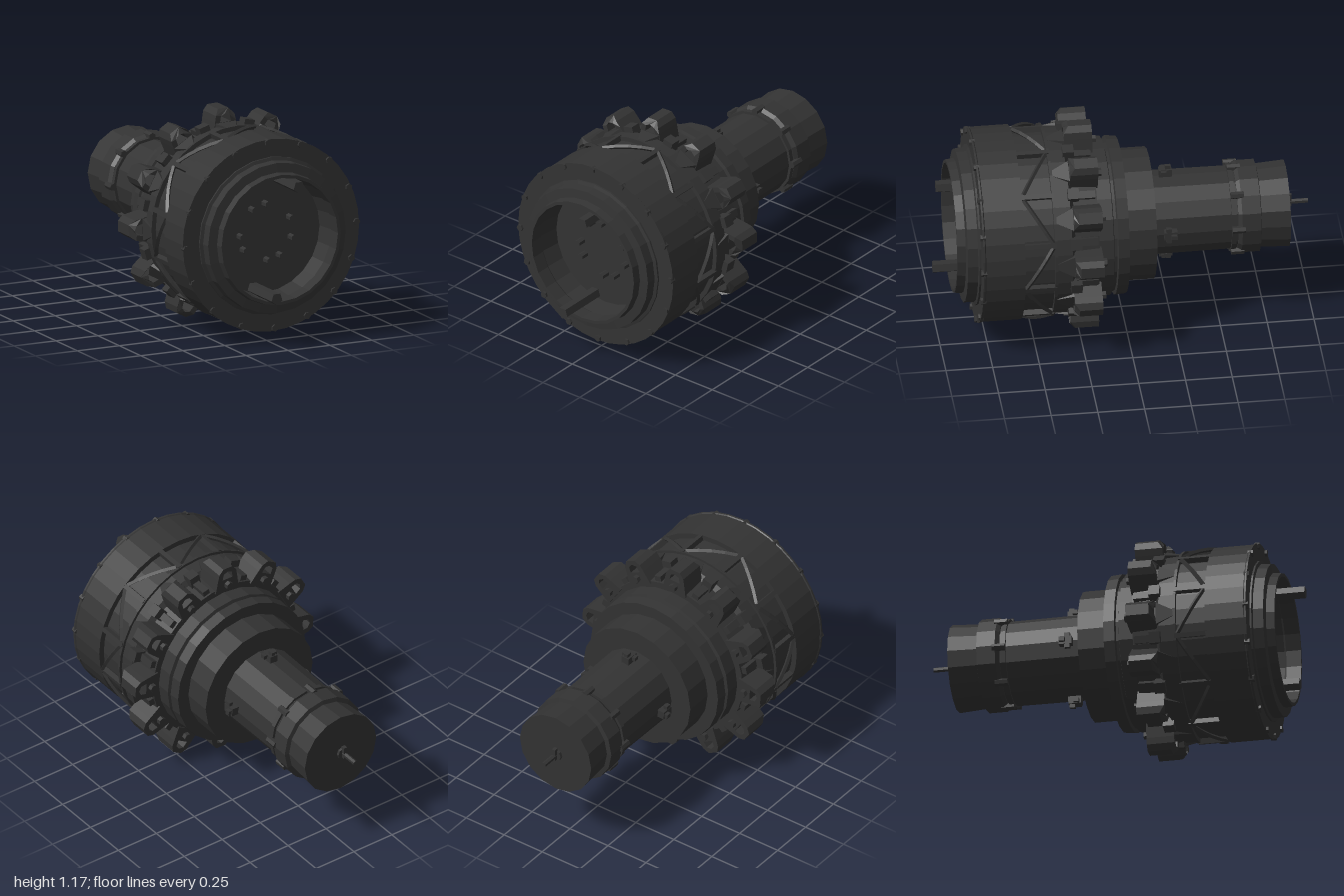
import * as THREE from 'three';

export function createModel() {
  const model = new THREE.Group();
  const body = new THREE.Group(); // everything is built around the z axis
  body.name = 'portBody';
  body.position.y = 0.585;
  model.add(body);
  const metal = new THREE.MeshStandardMaterial({ color: 0x333333, flatShading: true });
  metal.name = 'darkMetal';

  const add = (name, geo, parent = body) => {
    const m = new THREE.Mesh(geo, metal);
    m.name = name;
    parent.add(m);
    return m;
  };
  // Turned part: [radius, z] points, running from back to front
  const turned = (name, pts, sides) => {
    const g = new THREE.LatheGeometry(pts.map(p => new THREE.Vector2(p[0], p[1])), sides);
    return add(name, g.rotateX(Math.PI / 2));
  };
  const rod = (r, len, sides = 6) => new THREE.CylinderGeometry(r, r, len, sides).rotateX(Math.PI / 2);
  // Repeat a builder around the axis; local +y points outwards
  const ring = (name, count, offset, build) => {
    for (let i = 0; i < count; i++) {
      const g = new THREE.Group();
      g.name = name;
      g.rotation.z = offset + i * Math.PI * 2 / count;
      build(g, i);
      body.add(g);
    }
  };
  const tilt = 0.04;

  // Rear cap, narrow tube and stepped collars
  turned('rearCap', [[0, -0.88], [0.235, -0.88], [0.225, -0.725], [0.25, -0.72], [0.25, -0.62], [0.235, -0.6], [0.22, -0.6]], 16);
  turned('clampBand', [[0.22, -0.59], [0.24, -0.59], [0.24, -0.565], [0.22, -0.565]], 16);
  turned('rearTube', [[0.225, -0.62], [0.228, -0.14]], 16);
  turned('smallCollar', [[0.2, -0.15], [0.352, -0.15], [0.352, 0.01]], 20);
  turned('largeCollar', [[0.33, 0.005], [0.42, 0.005], [0.425, 0.065], [0.405, 0.07], [0.405, 0.085], [0.425, 0.09], [0.425, 0.18]], 24);

  // Main drum, from the lug seat to the front flange
  turned('lugSeat', [[0.4, 0.17], [0.46, 0.17], [0.47, 0.3], [0.5, 0.32], [0.5, 0.4], [0.515, 0.4], [0.515, 0.415], [0.49, 0.415]], 36);
  turned('trussCore', [[0.49, 0.4], [0.49, 0.59]], 36);
  turned('frontDrum', [[0.48, 0.575], [0.52, 0.575], [0.52, 0.785], [0.525, 0.79], [0.525, 0.8], [0.38, 0.8]], 36);
  // Stepped mouth with a sunken floor
  turned('frontMouth', [[0.43, 0.795], [0.43, 0.81], [0.412, 0.815], [0.41, 0.87], [0.36, 0.875], [0.355, 0.92],
    [0.338, 0.92], [0.338, 0.84], [0.345, 0.83], [0.33, 0.72], [0, 0.72]], 24);

  // Truss bars: straight ribs and zigzag braces
  ring('trussBay', 12, tilt + Math.PI / 12, (g, i) => {
    const rib = add('trussRib', new THREE.BoxGeometry(0.025, 0.04, 0.18), g);
    rib.position.set(0, 0.498, 0.495);
    const a = Math.PI / 6, r = 0.512, d = i % 2 ? 1 : -1;
    const path = new THREE.CatmullRomCurve3([0.05, 0.35, 0.65, 0.95].map(t =>
      new THREE.Vector3(Math.sin(a * t) * r, Math.cos(a * t) * r, 0.495 + d * (t - 0.5) * 0.16)));
    add('trussBrace', new THREE.TubeGeometry(path, 4, 0.012, 4), g);
  });

  // Eye lugs with a gusset, small blocks between them
  const lugShape = new THREE.Shape([[-0.075, 0.44], [0.075, 0.44], [0.062, 0.52], [0.055, 0.555], [0.03, 0.585],
    [-0.03, 0.585], [-0.055, 0.555], [-0.062, 0.52]].map(p => new THREE.Vector2(...p)));
  lugShape.holes.push(new THREE.Path([[-0.033, 0.515], [-0.026, 0.55], [0, 0.562], [0.026, 0.55], [0.033, 0.515]]
    .map(p => new THREE.Vector2(...p))));
  const lugGeo = new THREE.ExtrudeGeometry(lugShape, { depth: 0.15, bevelEnabled: false }).translate(0, 0, 0.16);
  const lp = lugGeo.attributes.position;
  for (let i = 0; i < lp.count; i++) { // slope the outer front corner
    if (lp.getZ(i) > 0.3 && lp.getY(i) > 0.57) lp.setZ(i, 0.285);
  }
  const gussetGeo = new THREE.CylinderGeometry(0.02, 0.09, 0.1, 4, 1, false, Math.PI / 4)
    .rotateX(Math.PI / 2).scale(1, 0.3, 1).translate(0, 0.495, 0.355);
  ring('eyeLug', 12, tilt, g => {
    add('lugEye', lugGeo, g);
    add('lugGusset', gussetGeo, g);
    add('lugPin', rod(0.022, 0.03), g).position.set(0, 0.48, 0.15);
  });
  ring('spacer', 12, tilt + Math.PI / 12, g => {
    add('spacerBlock', new THREE.BoxGeometry(0.06, 0.08, 0.06), g).position.set(0, 0.49, 0.3);
    add('spacerFoot', new THREE.BoxGeometry(0.04, 0.05, 0.1), g).position.set(0, 0.465, 0.23);
  });

  // Flange bolts
  ring('flangeBolt', 16, tilt, g => {
    add('boltHead', rod(0.019, 0.03), g).position.set(0, 0.508, 0.797);
  });

  // Studs on the sunken floor and two guide posts
  [[-0.08, 0.135], [0, 0.16], [0.145, 0.07], [0.155, -0.04], [0.085, -0.13], [0.01, -0.15], [-0.13, -0.08], [-0.15, -0.005]]
    .forEach(([x, y]) => add('floorStud', rod(0.018, 0.06)).position.set(x, y, 0.74));
  for (const s of [1, -1]) {
    const post = add('guidePost', rod(0.034, 0.28, 5));
    post.position.set(s * 0.066, s * 0.298, 0.86);
  }

  // Tube fittings and clamp knobs
  ring('tubeFitting', 4, tilt, g => {
    add('fittingBase', new THREE.BoxGeometry(0.045, 0.06, 0.07), g).position.set(0, 0.235, -0.235);
    add('fittingBar', new THREE.BoxGeometry(0.085, 0.022, 0.03), g).position.set(0, 0.252, -0.225);
    add('fittingTip', new THREE.BoxGeometry(0.022, 0.025, 0.03), g).position.set(0, 0.272, -0.25);
  });
  ring('clampKnob', 8, tilt, g => {
    add('knob', rod(0.02, 0.07), g).position.set(0, 0.242, -0.6);
  });

  // Rear connector pin
  add('rearPin', rod(0.014, 0.13)).position.set(-0.01, 0, -0.935);
  add('rearPinCross', new THREE.BoxGeometry(0.02, 0.07, 0.025)).position.set(-0.01, 0.012, -0.9);
  add('rearPinBase', rod(0.035, 0.02, 8)).position.set(-0.01, 0, -0.885);

  return model;
}
